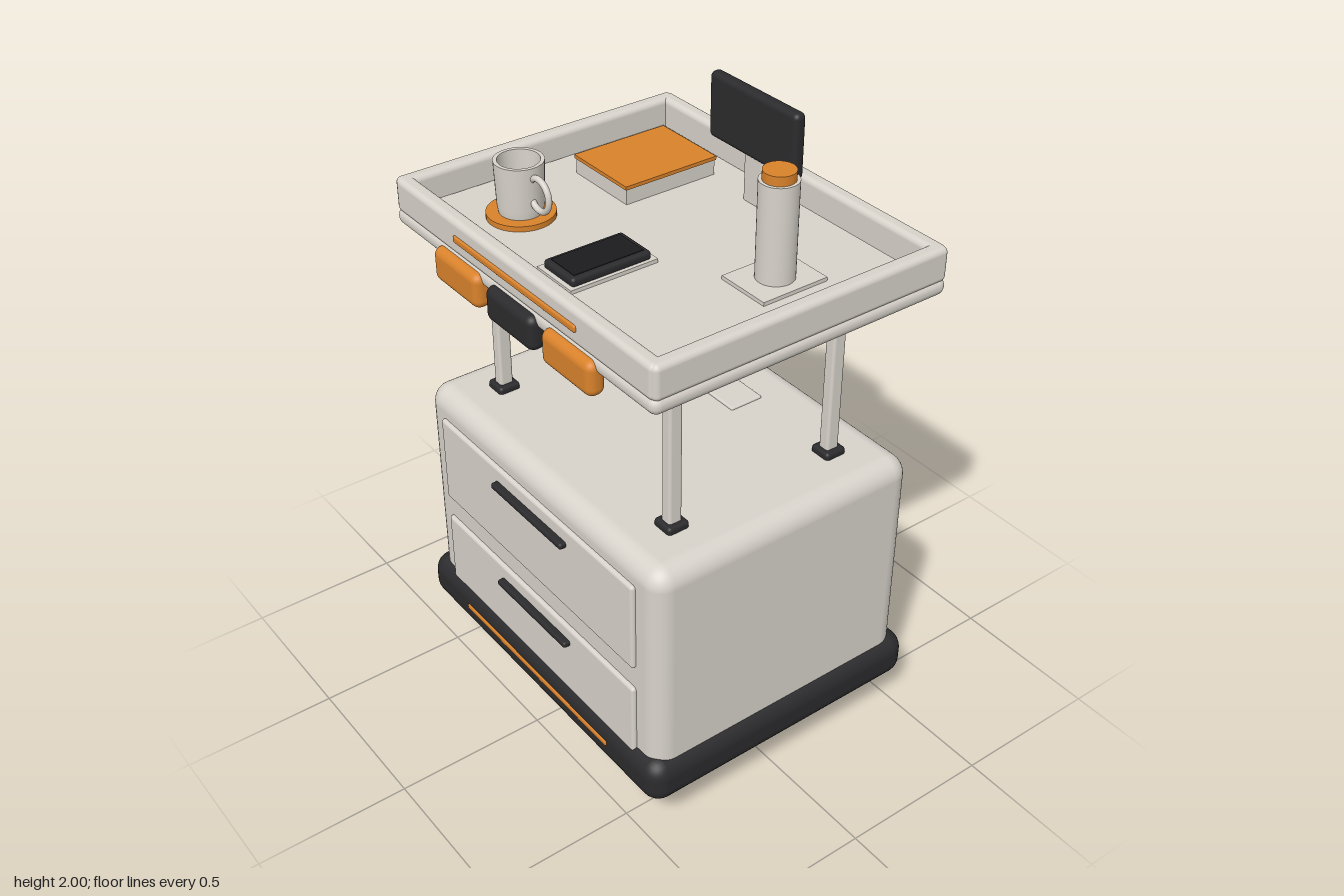
import * as THREE from 'three';
import { RoundedBoxGeometry } from 'three/addons/geometries/RoundedBoxGeometry.js';

const material = (name, color) => {
  const m = new THREE.MeshStandardMaterial({ color });
  m.name = name;
  return m;
};

export function createModel() {
  const cream = material('warm white', 0xd8d3cb);
  const orange = material('orange', 0xd9822b);
  const dark = material('charcoal', 0x2b2b2d);
  const black = material('screen black', 0x1c1c1e);
  const coffee = material('coffee brown', 0x7b5228);

  const model = new THREE.Group();
  model.name = 'serviceCart';
  const add = (name, geometry, mat, x, y, z, parent = model) => {
    const mesh = new THREE.Mesh(geometry, mat);
    mesh.name = name;
    mesh.position.set(x, y, z);
    parent.add(mesh);
    return mesh;
  };
  // Box given by its extents, with rounded edges when r > 0
  const box = (name, mat, [x0, x1], [y0, y1], [z0, z1], r = 0, parent = model) => {
    const w = x1 - x0, h = y1 - y0, d = z1 - z0;
    const geometry = r ? new RoundedBoxGeometry(w, h, d, 4, r) : new THREE.BoxGeometry(w, h, d);
    return add(name, geometry, mat, (x0 + x1) / 2, (y0 + y1) / 2, (z0 + z1) / 2, parent);
  };
  const cyl = (name, mat, r, y0, y1, x, z) =>
    add(name, new THREE.CylinderGeometry(r, r, y1 - y0, 40), mat, x, (y0 + y1) / 2, z);
  const midZ = -0.012;

  // Base bumper and cabinet
  box('base', dark, [-0.645, 0.645], [0.13, 0.29], [-0.525, 0.5], 0.06);
  box('baseStripe', orange, [-0.4, 0.4], [0.21, 0.23], [0.485, 0.505], 0.006);
  box('cabinet', cream, [-0.617, 0.617], [0.2, 1], [-0.493, 0.468], 0.065);
  box('topHatch', cream, [-0.1, 0.1], [0.99, 1.008], [-0.33, -0.21], 0.006);

  // Drawers with bar handles
  for (const [y0, y1, handleY] of [[0.605, 0.915, 0.857], [0.215, 0.525, 0.468]]) {
    box('drawer', cream, [-0.515, 0.515], [y0, y1], [0.455, 0.482], 0.011);
    box('drawerHandle', dark, [-0.19, 0.19], [handleY - 0.011, handleY + 0.011], [0.476, 0.505], 0.009);
  }

  // Wheels: bevelled tyre with a hub cap on the outer side
  const tyre = new THREE.LatheGeometry(
    [[0, -0.03], [0.117, -0.03], [0.117, -0.03], [0.125, -0.022], [0.125, -0.022],
      [0.125, 0.022], [0.125, 0.022], [0.117, 0.03], [0.117, 0.03], [0, 0.03]]
      .map(([r, y]) => new THREE.Vector2(r, y)), 40);
  const hub = new THREE.CylinderGeometry(0.075, 0.075, 0.008, 32);
  for (const side of [-1, 1]) {
    for (const z of [0.325, -0.348]) {
      const wheel = new THREE.Group();
      wheel.name = 'wheel';
      add('tyre', tyre, dark, 0, 0, 0, wheel);
      add('hubCap', hub, cream, 0, 0.03, 0, wheel);
      wheel.rotation.z = -side * Math.PI / 2;
      wheel.position.set(side * 0.48, 0.125, z);
      model.add(wheel);
    }
  }

  // Posts and their feet
  for (const x of [-0.44, 0.44]) {
    for (const z of [midZ - 0.296, midZ + 0.296]) {
      box('post', cream, [x - 0.02, x + 0.02], [0.98, 1.6], [z - 0.023, z + 0.023], 0.009);
      box('postFoot', dark, [x - 0.038, x + 0.038], [0.99, 1.022], [z - 0.038, z + 0.038], 0.012);
    }
  }

  // Tray: plate, four rim bars and a floor mat
  box('trayPlate', cream, [-0.647, 0.647], [1.57, 1.627], [-0.525, 0.5], 0.027);
  for (const s of [-1, 1]) {
    const x = s * 0.62, z = midZ + s * 0.485;
    box('sideRim', cream, [x - 0.026, x + 0.026], [1.615, 1.725], [-0.52, 0.495], 0.018);
    box('longRim', cream, [-0.637, 0.637], [1.615, 1.725], [z - 0.026, z + 0.026], 0.018);
  }
  box('trayMat', cream, [-0.59, 0.588], [1.62, 1.638], [-0.46, 0.43]);
  box('trayStripe', orange, [-0.305, 0.305], [1.657, 1.68], [0.485, 0.506], 0.007);

  // Padded blocks below the front of the tray
  [orange, dark, orange].forEach((mat, i) => {
    const x = (i - 1) * 0.279;
    box('frontPad', mat, [x - 0.119, x + 0.119], [1.5, 1.612], [0.465, 0.525], 0.027);
  });

  // Screen on a stand
  box('screenStand', cream, [-0.044, 0.044], [1.63, 1.83], [-0.397, -0.345], 0.01);
  box('screen', dark, [-0.197, 0.197], [1.79, 2], [-0.373, -0.331], 0.018);

  // Notebook
  box('notebookPages', cream, [-0.48, -0.219], [1.635, 1.688], [-0.376, -0.044]);
  box('notebookCover', orange, [-0.484, -0.215], [1.688, 1.7], [-0.38, -0.04]);

  // Phone on its pad
  box('phonePad', cream, [-0.058, 0.11], [1.635, 1.65], [0.085, 0.382]);
  box('phone', dark, [-0.047, 0.1], [1.645, 1.675], [0.098, 0.369], 0.012);
  box('phoneScreen', black, [-0.03, 0.083], [1.672, 1.677], [0.115, 0.352]);

  // Bottle on its pad
  box('bottlePad', cream, [0.29, 0.472], [1.635, 1.65], [-0.228, 0]);
  cyl('bottle', cream, 0.058, 1.645, 1.95, 0.382, -0.115);
  cyl('bottleCap', orange, 0.048, 1.945, 1.979, 0.382, -0.115);

  // Saucer, hollow cup, coffee and handle
  const cx = -0.355, cz = 0.24;
  cyl('saucer', orange, 0.105, 1.635, 1.655, cx, cz);
  const cupProfile = [[0, 0], [0.066, 0], [0.066, 0], [0.071, 0.03], [0.076, 0.17], [0.076, 0.17],
    [0.064, 0.17], [0.064, 0.17], [0.06, 0.02], [0.06, 0.02], [0, 0.02]];
  add('cup', new THREE.LatheGeometry(cupProfile.map(([r, y]) => new THREE.Vector2(r, y)), 40),
    cream, cx, 1.65, cz);
  cyl('coffee', coffee, 0.0625, 1.715, 1.735, cx, cz);
  add('cupHandle', new THREE.TorusGeometry(0.05, 0.01, 12, 36), cream, -0.253, 1.745, cz);

  return model;
}
